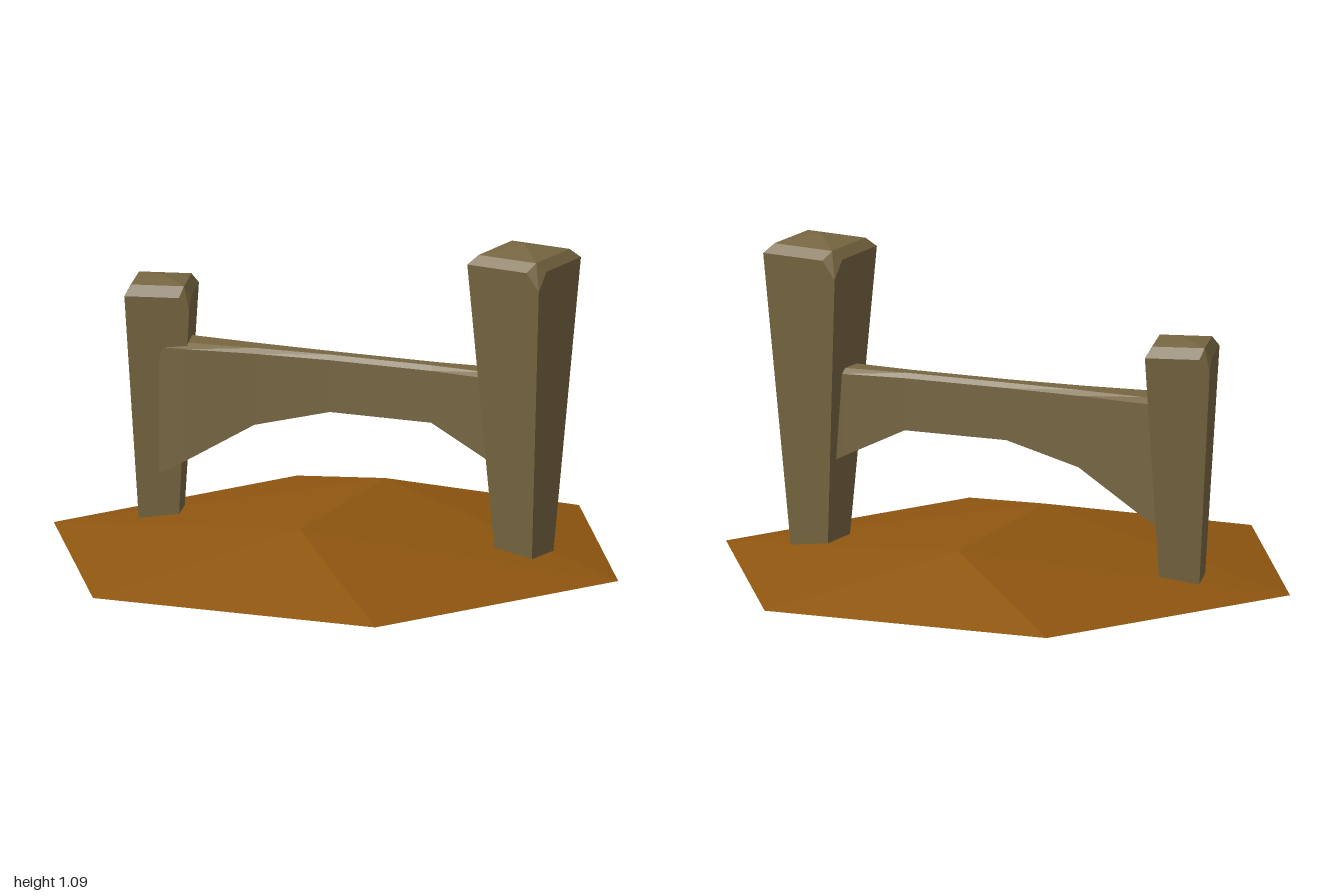
import * as THREE from 'three';
import { ConvexGeometry } from 'three/addons/geometries/ConvexGeometry.js';

const wood = new THREE.MeshStandardMaterial({ color: 0x776641, flatShading: true, side: THREE.DoubleSide });
wood.name = 'weathered wood';
const earth = new THREE.MeshStandardMaterial({ color: 0x8f5610, flatShading: true, side: THREE.DoubleSide });
earth.name = 'brown earth';

function meshFrom(name, points, index, material) {
  const indexed = new THREE.BufferGeometry();
  indexed.setAttribute('position', new THREE.Float32BufferAttribute(points.flat(), 3));
  indexed.setIndex(index);
  const geometry = indexed.toNonIndexed();
  geometry.computeVertexNormals();
  const mesh = new THREE.Mesh(geometry, material);
  mesh.name = name;
  return mesh;
}

// Low open mound: hexagonal rim rising to a short ridge along z
function createMound() {
  const points = [];
  for (let i = 0; i < 6; i++) {
    const a = (i * Math.PI) / 3;
    points.push([Math.cos(a), 0, Math.sin(a)]);
  }
  points.push([0, 0.148, 0.31], [0, 0.148, -0.42]);
  const index = [
    6, 1, 0, 6, 2, 1, 6, 3, 2,
    7, 4, 3, 7, 5, 4, 7, 0, 5,
    6, 0, 7, 6, 7, 3,
  ];
  return meshFrom('mound', points, index, earth);
}

// Post flaring upward, with a low peaked cap, two chipped corners and an open foot
function createPost(name, { x, z, turn, foot, head, shoulder, rim, peak, chip }) {
  const base = 0.038;
  const points = [new THREE.Vector3(0, peak, 0)];
  for (const [sx, sz] of [[1, 1], [1, -1], [-1, -1], [-1, 1]]) {
    const add = (px, y, pz) => points.push(new THREE.Vector3(sx * px, y, sz * pz));
    add(foot, base, foot);
    add(head * 0.8, rim, head * 0.8);
    if (sx === sz) {
      const t = (shoulder - chip - base) / (shoulder - base);
      const low = foot + (head - foot) * t;
      add(low, shoulder - chip, low);
      add(head, shoulder, head - chip * 0.8);
      add(head - chip * 0.8, shoulder, head);
    } else {
      add(head, shoulder, head);
    }
  }
  const hull = new ConvexGeometry(points).getAttribute('position');
  const kept = [];
  for (let i = 0; i < hull.count; i += 3) {
    const corners = [i, i + 1, i + 2];
    if (corners.every((j) => hull.getY(j) < base + 0.001)) continue;
    corners.forEach((j) => kept.push([hull.getX(j), hull.getY(j), hull.getZ(j)]));
  }
  const post = meshFrom(name, kept, kept.map((_, i) => i), wood);
  post.position.set(x, 0, z);
  post.rotation.y = turn;
  return post;
}

// Rail bowed in plan and arched below, with a narrow bevel along its top front edge
function createRail() {
  // x, back z, front z, underside y
  const stations = [
    [-0.62, -0.145, 0.015, 0.205],
    [-0.53, -0.14, 0.007, 0.255],
    [-0.3, -0.12, -0.025, 0.392],
    [-0.04, -0.11, -0.043, 0.457],
    [0.32, -0.11, -0.041, 0.457],
    [0.53, -0.132, -0.02, 0.355],
    [0.6, -0.14, -0.012, 0.32],
  ];
  const points = [];
  const index = [];
  const n = 6;
  stations.forEach(([x, back, front, under], i) => {
    const bevel = (front - back) * 0.17;
    points.push(
      [x, under, back], [x, under, front], [x, 0.632, front],
      [x, 0.648, front - bevel], [x, 0.648, back + bevel], [x, 0.632, back],
    );
    if (i === 0) return;
    for (let j = 0; j < n; j++) {
      const k = (j + 1) % n;
      const a = (i - 1) * n + j, b = i * n + j, c = i * n + k, d = (i - 1) * n + k;
      index.push(a, b, c, a, c, d);
    }
  });
  // End caps
  const last = (stations.length - 1) * n;
  for (let j = 1; j < n - 1; j++) {
    index.push(0, j, j + 1, last, last + j + 1, last + j);
  }
  return meshFrom('rail', points, index, wood);
}

export function createModel() {
  const model = new THREE.Group();
  model.name = 'fence on mound';
  model.add(
    createMound(),
    createPost('tallPost', {
      x: 0.636, z: -0.073, turn: -0.13, foot: 0.07, head: 0.136,
      shoulder: 1.028, rim: 1.058, peak: 1.085, chip: 0.06,
    }),
    createPost('shortPost', {
      x: -0.65, z: -0.077, turn: 0.256, foot: 0.066, head: 0.108,
      shoulder: 0.803, rim: 0.838, peak: 0.855, chip: 0.045,
    }),
    createRail(),
  );
  return model;
}
